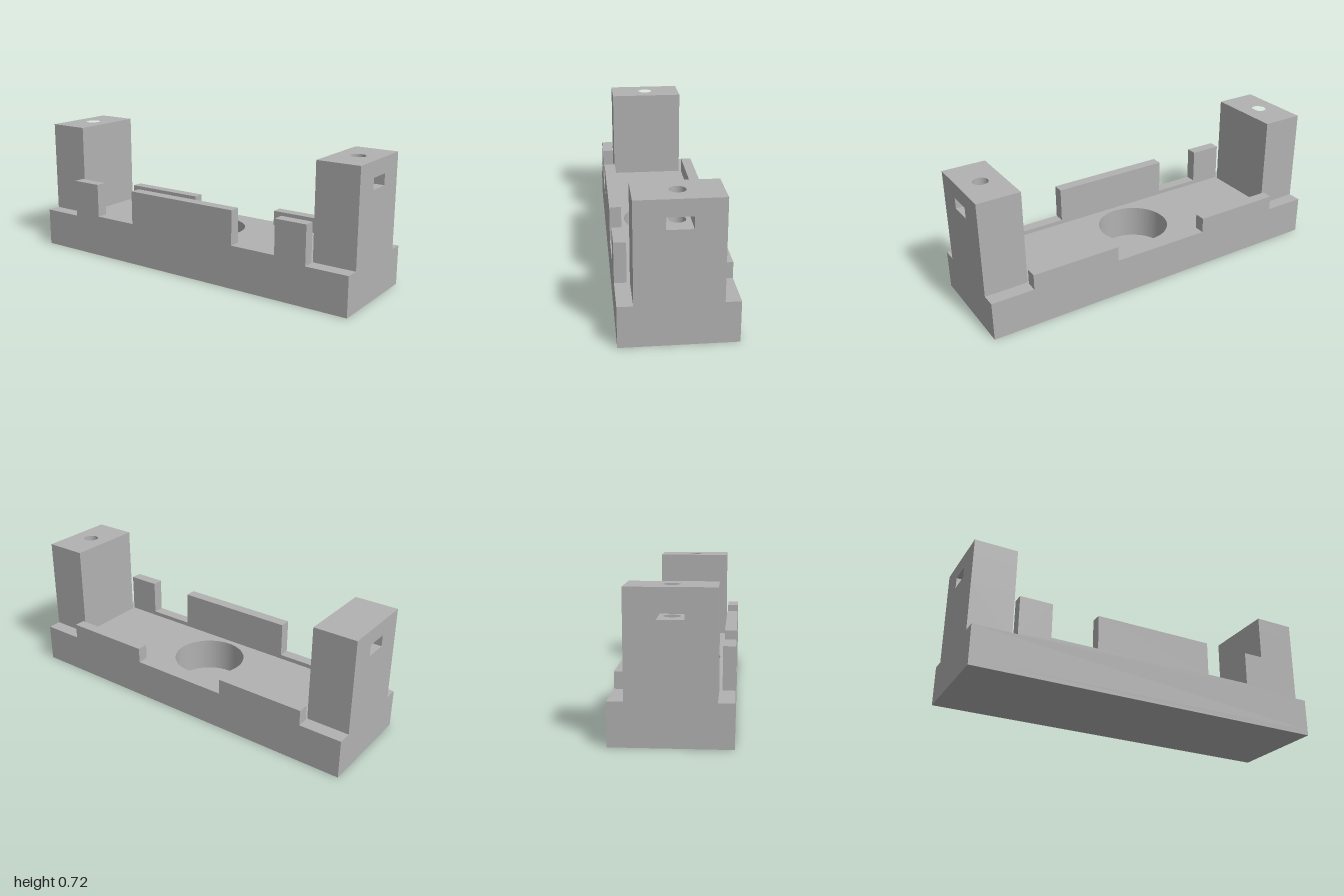
import * as THREE from 'three';

const plasticGrey = new THREE.MeshStandardMaterial({ color: 0xb2b2b2 });
plasticGrey.name = 'plasticGrey';

// Closed outline from [a, b] points
const outline = (points) => new THREE.Shape(points.map(([a, b]) => new THREE.Vector2(a, b)));

const rectangle = (x0, x1, z0, z1) => outline([[x0, z0], [x1, z0], [x1, z1], [x0, z1]]);

function drill(shape, x, radius) {
  shape.holes.push(new THREE.Path().absarc(x, 0, radius, 0, Math.PI * 2, true));
  return shape;
}

function addMesh(parent, name, geometry) {
  const mesh = new THREE.Mesh(geometry, plasticGrey);
  mesh.name = name;
  parent.add(mesh);
}

// Plan outline raised from y0 to y1
function addSlab(parent, name, shape, y0, y1) {
  const g = new THREE.ExtrudeGeometry(shape, { depth: y1 - y0, bevelEnabled: false, curveSegments: 48 });
  g.rotateX(-Math.PI / 2).translate(0, y0, 0);
  addMesh(parent, name, g);
}

// Front outline given thickness from z0 to z1
function addWall(parent, name, shape, z0, z1) {
  const g = new THREE.ExtrudeGeometry(shape, { depth: z1 - z0, bevelEnabled: false });
  addMesh(parent, name, g.translate(0, 0, z0));
}

export function createModel() {
  const model = new THREE.Group();
  model.name = 'mountingBracket';
  const deck = 0.212, depth = 0.286, wallIn = 0.225, postIn = 0.768;

  // Base block with a round blind pocket
  addSlab(model, 'baseFloor', rectangle(-1, 1, -depth, depth), 0, 0.03);
  addSlab(model, 'baseBlock', drill(rectangle(-1, 1, -depth, depth), 0, 0.193), 0.03, deck);

  // Front wall with two notches that leave a low lip
  const high = 0.423, lip = 0.235, a = 0.592, b = 0.335;
  addWall(model, 'frontWall', outline([
    [-postIn, deck], [postIn, deck], [postIn, high], [a, high], [a, lip], [b, lip], [b, high],
    [-b, high], [-b, lip], [-a, lip], [-a, high], [-postIn, high],
  ]), wallIn, depth);

  for (const s of [1, -1]) {
    const side = s > 0 ? 'left' : 'right';

    // Low back wall on either side of the open middle
    addWall(model, side + 'BackWall', outline([
      [s * 0.276, deck], [s * postIn, deck], [s * postIn, 0.296], [s * 0.276, 0.296],
    ]), -depth, -wallIn);

    // End post with a screw hole from above and a nut slot in the outer face
    const post = new THREE.Group();
    post.name = side + 'Post';
    model.add(post);
    const half = 0.21, slot = 0.0625, slotEnd = s * 0.82, hole = 0.04, holeX = s * 0.884;
    const plan = () => rectangle(s * postIn, s, -half, half);
    addSlab(post, 'postShaft', plan(), deck, 0.48);
    addSlab(post, 'postScrewSection', drill(plan(), holeX, hole), 0.48, 0.58);
    addSlab(post, 'postSlotSection', outline([
      [s * postIn, -half], [s, -half], [s, -slot], [slotEnd, -slot],
      [slotEnd, slot], [s, slot], [s, half], [s * postIn, half],
    ]), 0.58, 0.64);
    addSlab(post, 'postTop', drill(plan(), holeX, hole), 0.64, 0.724);
  }
  return model;
}
